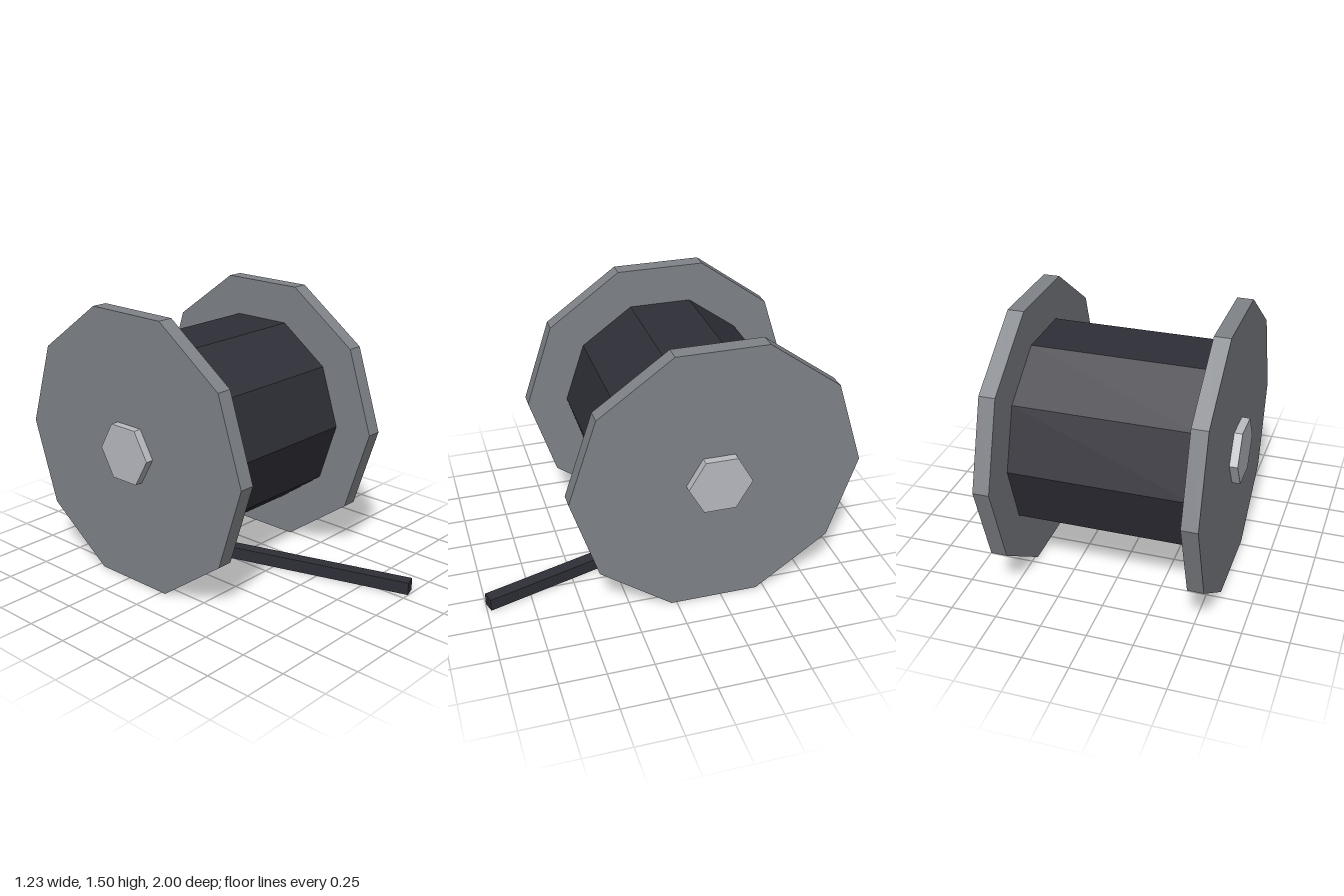
import * as THREE from 'three';

const CENTRE_Y = 0.75;
const CENTRE_Z = -0.213;

function material(name, color) {
  const m = new THREE.MeshStandardMaterial({ color });
  m.name = name;
  return m;
}

// Faceted disc lying along the x axis, with a corner pointing to +z
function disc(name, radius, sides, width, x, mat) {
  const geometry = new THREE.CylinderGeometry(radius, radius, width, sides).toNonIndexed();
  geometry.rotateZ(Math.PI / 2);
  geometry.computeVertexNormals();
  const mesh = new THREE.Mesh(geometry, mat);
  mesh.name = name;
  mesh.position.set(x, CENTRE_Y, CENTRE_Z);
  return mesh;
}

export function createModel() {
  const group = new THREE.Group();
  group.name = 'cableSpool';
  const cableBlack = material('cable black', 0x2f2f38);
  const flangeGrey = material('flange grey', 0x808388);
  const hubSilver = material('hub silver', 0xbabcc2);

  // Wound cable
  group.add(disc('woundCable', 0.56, 10, 0.97, 0, cableBlack));

  // Flanges and hexagonal hub caps, mirrored
  for (const [side, label] of [[1, 'left'], [-1, 'right']]) {
    group.add(disc(label + 'Flange', 0.787, 10, 0.086, side * 0.527, flangeGrey));
    group.add(disc(label + 'HubCap', 0.173, 6, 0.045, side * 0.5915, hubSilver));
  }

  // Loose cable end lying on the ground
  const tail = new THREE.Mesh(new THREE.BoxGeometry(0.068, 0.07, 1.057), cableBlack);
  tail.name = 'looseCableEnd';
  tail.position.set(0.173, 0.035, 0.483);
  tail.rotation.y = 0.296;
  group.add(tail);

  return group;
}
